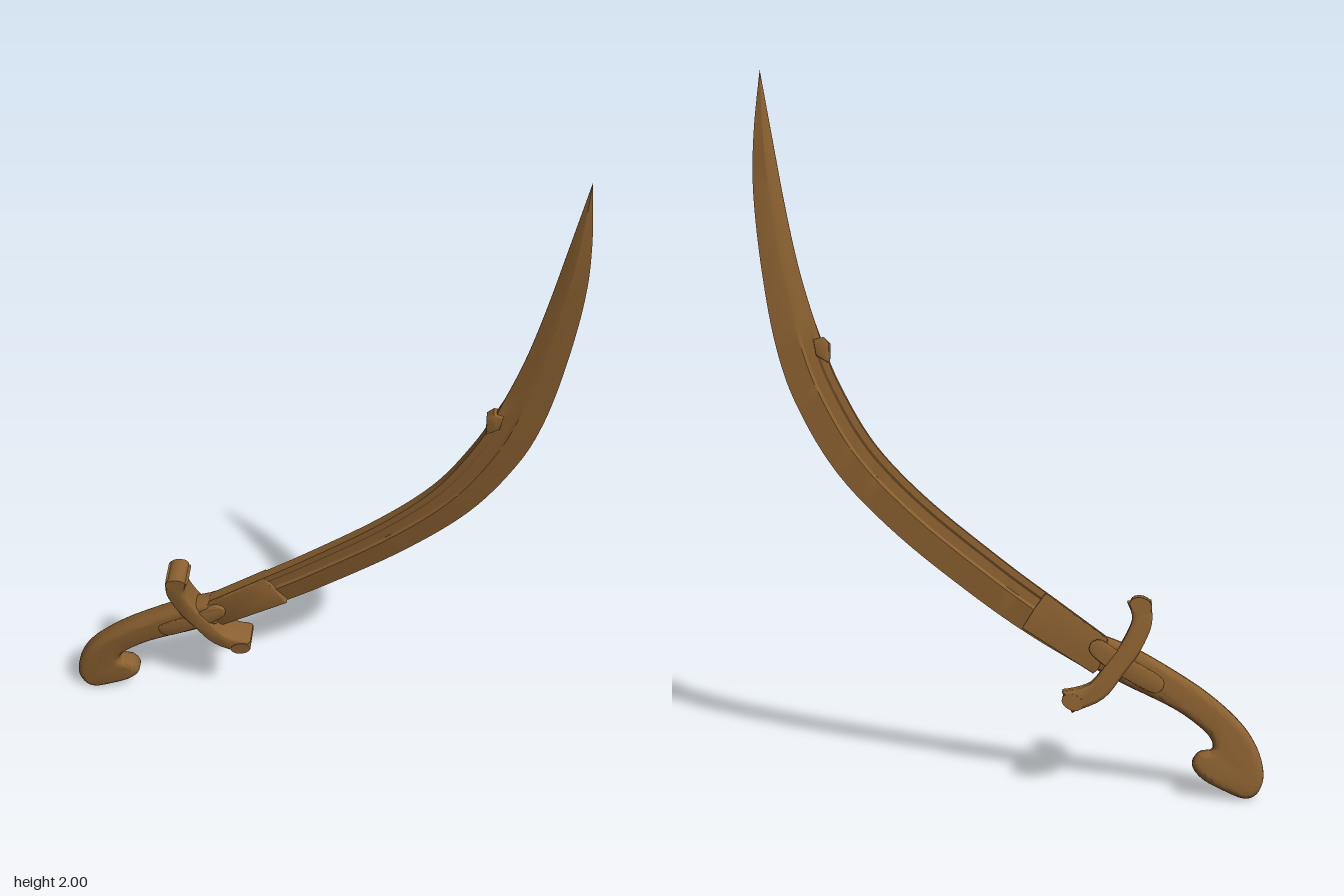
import * as THREE from 'three';
import { toCreasedNormals } from 'three/addons/utils/BufferGeometryUtils.js';

const material = new THREE.MeshStandardMaterial({ color: 0x8a6030 });

// The sword lies in a leaning plane: parts are drawn in x, y, with depth along its normal
const A = 0.434, B = 0.171, C = -0.156;
const plane = new THREE.Matrix4().makeBasis(
  new THREE.Vector3(1, 0, A),
  new THREE.Vector3(0, 1, B),
  new THREE.Vector3(-A, -B, 1).normalize()
).setPosition(0, 0, C);

function part(name, geometry, crease = 0.6) {
  geometry.applyMatrix4(plane);
  const mesh = new THREE.Mesh(toCreasedNormals(geometry, crease), material);
  mesh.name = name;
  return mesh;
}

const vec2 = (list) => list.map(([x, y]) => new THREE.Vector2(x, y));

// Rounded slab centred on the sword plane
function slab(points, half, bevel) {
  const geometry = new THREE.ExtrudeGeometry(new THREE.Shape(points), {
    depth: 2 * (half - bevel), bevelThickness: bevel, bevelSize: bevel,
    bevelOffset: -bevel, bevelSegments: 4, steps: 1,
  });
  return geometry.translate(0, 0, bevel - half);
}

// Outline of a band of varying width along a curve
function band(list, width, n = 24) {
  const curve = new THREE.SplineCurve(vec2(list));
  const left = [], right = [];
  for (let i = 0; i <= n; i++) {
    const t = i / n, p = curve.getPoint(t), d = curve.getTangent(t);
    const side = new THREE.Vector2(-d.y, d.x).multiplyScalar(width(t) / 2);
    left.push(p.clone().add(side));
    right.unshift(p.clone().sub(side));
  }
  return [...left, ...right];
}

// Blade lofted between spine and edge, with a fuller, then a two-edged point
function bladeGeometry() {
  const spine = new THREE.SplineCurve(vec2([
    [-0.27, 0.41], [-0.12, 0.53], [0.01, 0.635], [0.196, 0.8], [0.328, 0.952], [0.41, 1.11],
    [0.455, 1.24], [0.5, 1.42], [0.53, 1.6], [0.558, 1.82], [0.58, 2]]));
  const edge = new THREE.SplineCurve(vec2([
    [-0.2, 0.335], [-0.05, 0.43], [0.09, 0.535], [0.28, 0.7], [0.43, 0.87], [0.527, 1.055],
    [0.575, 1.22], [0.602, 1.43], [0.614, 1.65], [0.605, 1.82], [0.58, 2]]));
  const across = [0, 0.14, 0.2, 0.4, 0.46, 1];
  const fullered = [1, 1, 0.65, 0.65, 1, 0.06];
  const pointed = [0.1, 0.4, 0.55, 0.9, 0.95, 0.06];
  const n = 60, m = across.length, ring = 2 * m;
  const position = [], index = [];
  for (let i = 0; i <= n; i++) {
    const t = i / n, a = spine.getPoint(t), b = edge.getPoint(t);
    const mix = THREE.MathUtils.smoothstep(t, 0.59, 0.64);
    const half = 0.015 * (1 - 0.3 * t) * Math.min(1, (1 - t) * 8);
    for (let k = 0; k < ring; k++) {
      const j = k < m ? k : ring - 1 - k;
      const p = a.clone().lerp(b, across[j]);
      const h = half * THREE.MathUtils.lerp(fullered[j], pointed[j], mix);
      position.push(p.x, p.y, k < m ? h : -h);
    }
  }
  for (let i = 0; i < n; i++) {
    for (let k = 0; k < ring; k++) {
      const p = i * ring + k, q = i * ring + (k + 1) % ring;
      index.push(p, q, q + ring, p, q + ring, p + ring);
    }
  }
  const geometry = new THREE.BufferGeometry();
  geometry.setAttribute('position', new THREE.Float32BufferAttribute(position, 3));
  geometry.setIndex(index);
  geometry.computeVertexNormals();
  return geometry;
}

export function createModel() {
  const sword = new THREE.Group();
  sword.name = 'curvedSword';

  sword.add(part('blade', bladeGeometry(), 0.35));

  // Thicker collar at the root of the blade
  sword.add(part('bladeCollar', slab(vec2([
    [-0.28, 0.4], [-0.09, 0.553], [-0.06, 0.51], [-0.025, 0.455], [-0.2, 0.335]]), 0.022, 0.004)));

  // Small step on the spine where the two-edged point begins
  sword.add(part('spineStep', slab(vec2([
    [0.438, 1.18], [0.434, 1.235], [0.45, 1.252], [0.475, 1.245], [0.47, 1.2]]), 0.017, 0.005)));

  // Grip running into a hooked pommel
  const grip = new THREE.SplineCurve(vec2([
    [-0.24, 0.435], [-0.31, 0.405], [-0.4, 0.35], [-0.49, 0.285], [-0.565, 0.21], [-0.605, 0.14],
    [-0.617, 0.07], [-0.6, 0.02], [-0.565, 0.003], [-0.51, 0.025], [-0.46, 0.055], [-0.438, 0.092],
    [-0.458, 0.125], [-0.492, 0.135], [-0.482, 0.175], [-0.42, 0.23], [-0.35, 0.27],
    [-0.28, 0.305], [-0.21, 0.345]]));
  sword.add(part('gripAndPommel', slab(grip.getPoints(90), 0.032, 0.02), 0.9));

  // Crossguard curving towards the blade, flared at both tips
  const guard = band([
    [-0.328, 0.535], [-0.332, 0.48], [-0.3, 0.41], [-0.257, 0.35], [-0.205, 0.286], [-0.13, 0.256]],
    (t) => 0.05 + 0.012 * Math.abs(2 * t - 1) ** 6);
  sword.add(part('crossguard', slab(guard, 0.042, 0.01)));
  [[-0.332, 0.525, 0.3], [-0.145, 0.258, 0.4]].forEach(([x, y, turn], i) => {
    const tip = new THREE.CylinderGeometry(0.026, 0.026, 0.088, 16).rotateX(Math.PI / 2);
    tip.scale(1.1, 0.85, 1).rotateZ(turn).translate(x, y, 0);
    sword.add(part(i ? 'lowerGuardTip' : 'upperGuardTip', tip));
  });

  // Rounded tongues of the guard lying over grip and blade root
  const tongue = band([[-0.375, 0.3], [-0.32, 0.333], [-0.257, 0.373], [-0.2, 0.42]],
    (t) => 0.055 * Math.sqrt(Math.max(0.02, 1 - Math.abs(2 * t - 1) ** 6)));
  sword.add(part('guardTongue', slab(tongue, 0.037, 0.004)));

  return sword;
}
